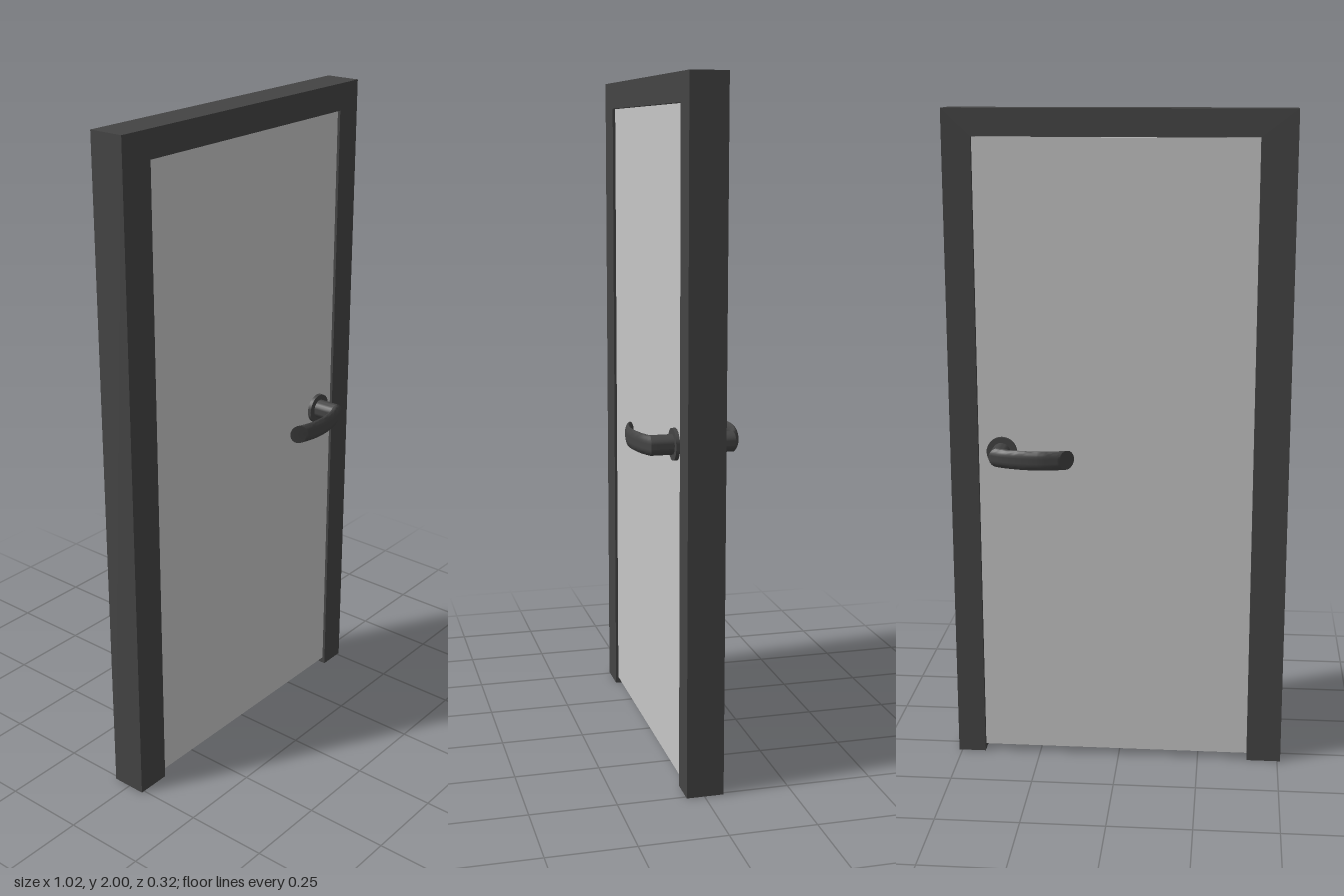
import * as THREE from 'three';
import { toCreasedNormals } from 'three/addons/utils/BufferGeometryUtils.js';

export function createModel() {
  const model = new THREE.Group();
  model.name = 'door';
  const charcoal = new THREE.MeshStandardMaterial({ color: 0x444444 });
  charcoal.name = 'charcoal';
  const paleGrey = new THREE.MeshStandardMaterial({ color: 0xc6c6c6 });
  paleGrey.name = 'pale grey';

  const add = (parent, name, geometry, material) => {
    const mesh = new THREE.Mesh(geometry, material);
    mesh.name = name;
    parent.add(mesh);
    return mesh;
  };

  // Frame: one arch-shaped outline, open at the floor
  const outline = [[-0.51, 0], [-0.405, 0], [-0.405, 1.92], [0.425, 1.92],
    [0.425, 0], [0.51, 0], [0.51, 2], [-0.51, 2]];
  const frameShape = new THREE.Shape(outline.map(([x, y]) => new THREE.Vector2(x, y)));
  const frame = new THREE.ExtrudeGeometry(frameShape, { depth: 0.108, bevelEnabled: false });
  add(model, 'frame', frame.translate(0, 0, -0.056), charcoal);

  // Door leaf, slightly recessed and clear of the floor
  add(model, 'doorLeaf', new THREE.BoxGeometry(0.828, 1.898, 0.092), paleGrey)
    .position.set(0.01, 0.97, -0.002);

  // Handle grip: elliptical sections, each spanning an inner and an outer point in x, z
  const inner = [[0.326, 0.04], [0.326, 0.118], [0.3, 0.127], [0.27, 0.134], [0.24, 0.137],
    [0.205, 0.136], [0.165, 0.128], [0.127, 0.113]];
  const outer = [[0.382, 0.04], [0.382, 0.122], [0.343, 0.14], [0.29, 0.153], [0.24, 0.158],
    [0.215, 0.157], [0.19, 0.153], [0.168, 0.149]];
  const sides = 24;

  function gripGeometry(from, to) {
    const positions = [];
    const index = [];
    const curveOf = (points) => new THREE.CatmullRomCurve3(
      points.slice(from, to + 1).map(([x, z]) => new THREE.Vector3(x, 0, z)));
    const a = curveOf(inner);
    const b = curveOf(outer);
    const steps = (to - from) * 4;
    for (let i = 0; i <= steps; i++) {
      const p = a.getPoint(i / steps);
      const q = b.getPoint(i / steps);
      for (let j = 0; j < sides; j++) {
        const angle = (j / sides) * Math.PI * 2;
        const v = p.clone().lerp(q, 0.5 + 0.5 * Math.cos(angle));
        positions.push(v.x, 0.029 * Math.sin(angle), v.z);
      }
    }
    for (let i = 0; i < steps; i++) {
      for (let j = 0; j < sides; j++) {
        const k = (j + 1) % sides;
        const c = i * sides;
        const d = c + sides;
        index.push(c + j, d + j, c + k, c + k, d + j, d + k);
      }
    }
    // End caps
    const last = steps * sides;
    for (let j = 1; j < sides - 1; j++) {
      index.push(0, j, j + 1, last, last + j + 1, last + j);
    }
    const geometry = new THREE.BufferGeometry();
    geometry.setAttribute('position', new THREE.Float32BufferAttribute(positions, 3));
    geometry.setIndex(index);
    // Sections run anticlockwise seen from behind, so flip the faces outward
    const flipped = geometry.getIndex().array;
    for (let i = 0; i < flipped.length; i += 3) {
      [flipped[i + 1], flipped[i + 2]] = [flipped[i + 2], flipped[i + 1]];
    }
    return toCreasedNormals(geometry, 0.6);
  }

  // A handle on each face; the back one is the front one turned over
  for (const side of ['front', 'back']) {
    const handle = new THREE.Group();
    handle.name = side + 'Handle';
    const rose = new THREE.CylinderGeometry(0.046, 0.046, 0.02, 32).rotateX(Math.PI / 2);
    add(handle, 'rose', toCreasedNormals(rose, 0.6), charcoal).position.set(0.353, 0, 0.046);
    add(handle, 'neck', gripGeometry(0, 1), charcoal);
    add(handle, 'lever', gripGeometry(1, inner.length - 1), charcoal);
    handle.position.set(0, 0.988, side === 'front' ? -0.001 : -0.002);
    if (side === 'back') handle.rotation.x = Math.PI;
    model.add(handle);
  }
  return model;
}
